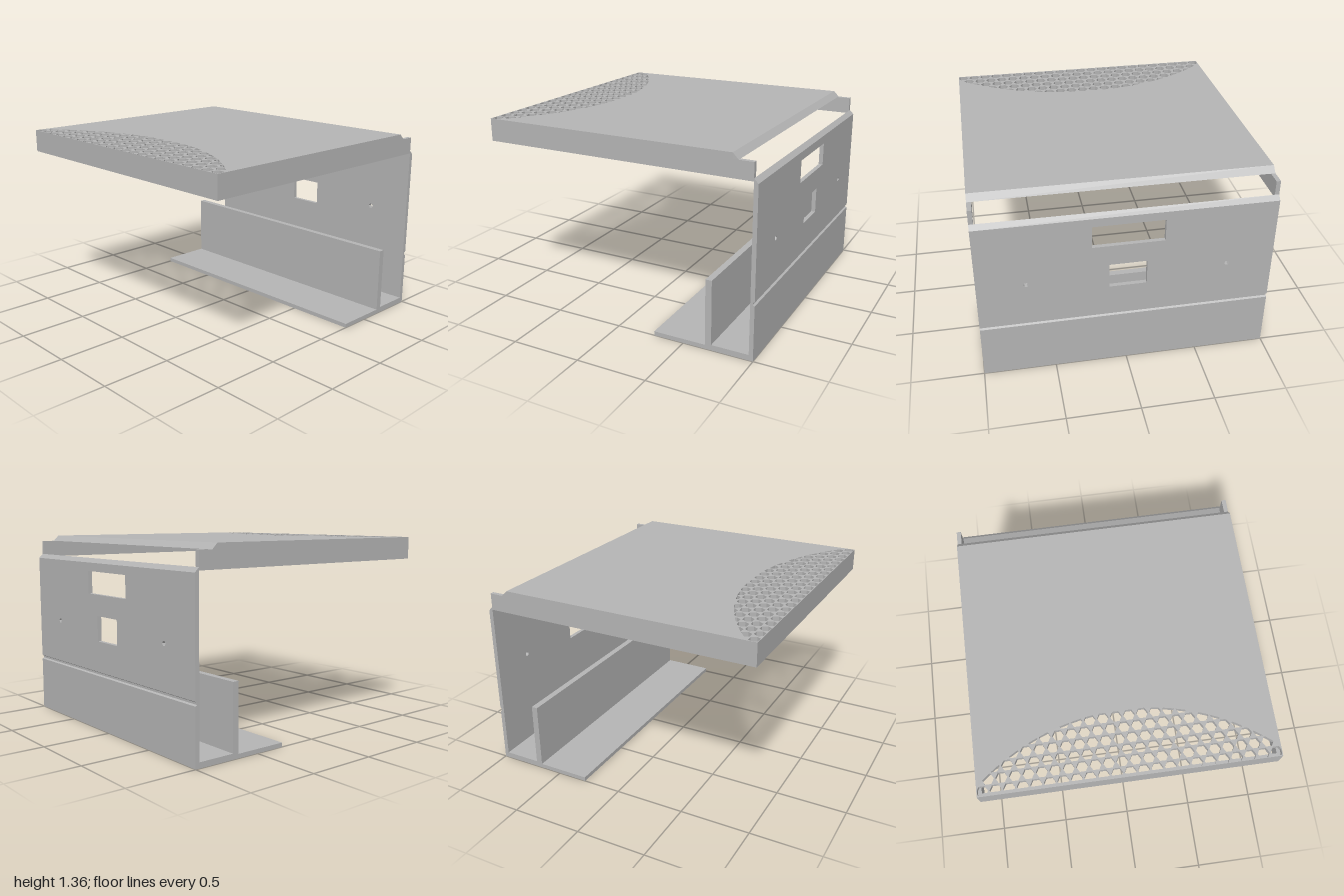
import * as THREE from 'three';

const gray = new THREE.MeshStandardMaterial({ color: 0xb4b4b4 });
gray.name = 'plain gray';

const V = (x, y) => new THREE.Vector2(x, y);
const rect = (x0, y0, x1, y1) => [V(x0, y0), V(x1, y0), V(x1, y1), V(x0, y1)];
const hexagon = (cx, cy, r) =>
  Array.from({ length: 6 }, (_, i) => V(cx + r * Math.cos(i * Math.PI / 3), cy + r * Math.sin(i * Math.PI / 3)));

function plate(outline, holes, depth) {
  const shape = new THREE.Shape(outline);
  for (const h of holes) shape.holes.push(new THREE.Path(h));
  return new THREE.ExtrudeGeometry(shape, { depth, bevelEnabled: false });
}

// Extrude a (z, y) profile along x, between x0 and x1
function alongX(profile, x0, x1) {
  const g = plate(profile.map(([z, y]) => V(z, y)), [], x1 - x0);
  return g.rotateY(-Math.PI / 2).translate(x1, 0, 0);
}

// Keep the part of a polygon where f >= 0
function clip(poly, f) {
  const out = [];
  poly.forEach((a, i) => {
    const b = poly[(i + 1) % poly.length];
    const fa = f(a), fb = f(b);
    if (fa >= 0) out.push(a);
    if ((fa > 0 && fb < 0) || (fa < 0 && fb > 0)) out.push(a.clone().lerp(b, fa / (fa - fb)));
  });
  return out;
}

// Hexagonal vents, trimmed by a large arc and by the panel edges (y here is -z)
function ventHoles() {
  const pitch = 0.0876, row = pitch * Math.sqrt(3) / 2, r = 0.0395;
  const limits = [
    p => 1.48 - Math.hypot(p.x, p.y + 2.025),
    p => p.y + 0.995,
    p => 0.995 - p.x,
    p => p.x + 0.995,
  ];
  const holes = [];
  for (let j = 0; j < 7; j++) {
    for (let i = -12; i <= 12; i++) {
      const cx = (i + (j % 2) / 2) * pitch;
      const hole = limits.reduce((poly, f) => clip(poly, f), hexagon(cx, -0.967 + j * row, r));
      if (hole.length > 2 && Math.abs(THREE.ShapeUtils.area(hole)) > 0.0001) holes.push(hole);
    }
  }
  return holes;
}

export function createModel() {
  const group = new THREE.Group();
  const add = (name, geometry) => {
    const mesh = new THREE.Mesh(geometry, gray);
    mesh.name = name;
    group.add(mesh);
  };

  // Foot, upright flange and lower back wall with its rear groove
  add('base', alongX([
    [-0.28, 0], [-0.28, 0.03], [-0.66, 0.03], [-0.66, 0.5], [-0.705, 0.5], [-0.705, 0.04],
    [-0.97, 0.04], [-0.97, 0.42], [-1, 0.42], [-0.987, 0.412], [-0.987, 0.398], [-1, 0.39], [-1, 0],
  ], -1, 1));

  // Upper back wall with windows and screw holes
  add('backWall', plate(rect(-1, 0.42, 1, 1.19), [
    rect(-0.245, 0.97, 0.24, 1.13),
    rect(-0.13, 0.64, 0.125, 0.82),
    hexagon(-0.68, 0.73, 0.018),
    hexagon(0.675, 0.73, 0.018),
  ], 0.03).translate(0, 0, -1));
  add('backWallBevel', alongX([[-1, 1.19], [-0.97, 1.19], [-0.97, 1.22]], -1, 1));

  // Hood: perforated top, sloped rear edge and rim walls
  add('topPanel', plate(rect(-1, -1, 1, 0.83), ventHoles(), 0.04)
    .rotateX(-Math.PI / 2).translate(0, 1.32, 0));
  add('topRearSlope', alongX([[-0.87, 1.32], [-0.83, 1.32], [-0.83, 1.36]], -1, 1));
  for (const [name, x] of [['leftRim', 0.97], ['rightRim', -1]]) {
    add(name, alongX([[-0.97, 1.2], [1, 1.2], [1, 1.32], [-0.97, 1.32]], x, x + 0.03));
  }
  add('frontRim', alongX([[0.97, 1.2], [1, 1.2], [1, 1.32], [0.97, 1.32]], -0.97, 0.97));

  return group;
}
